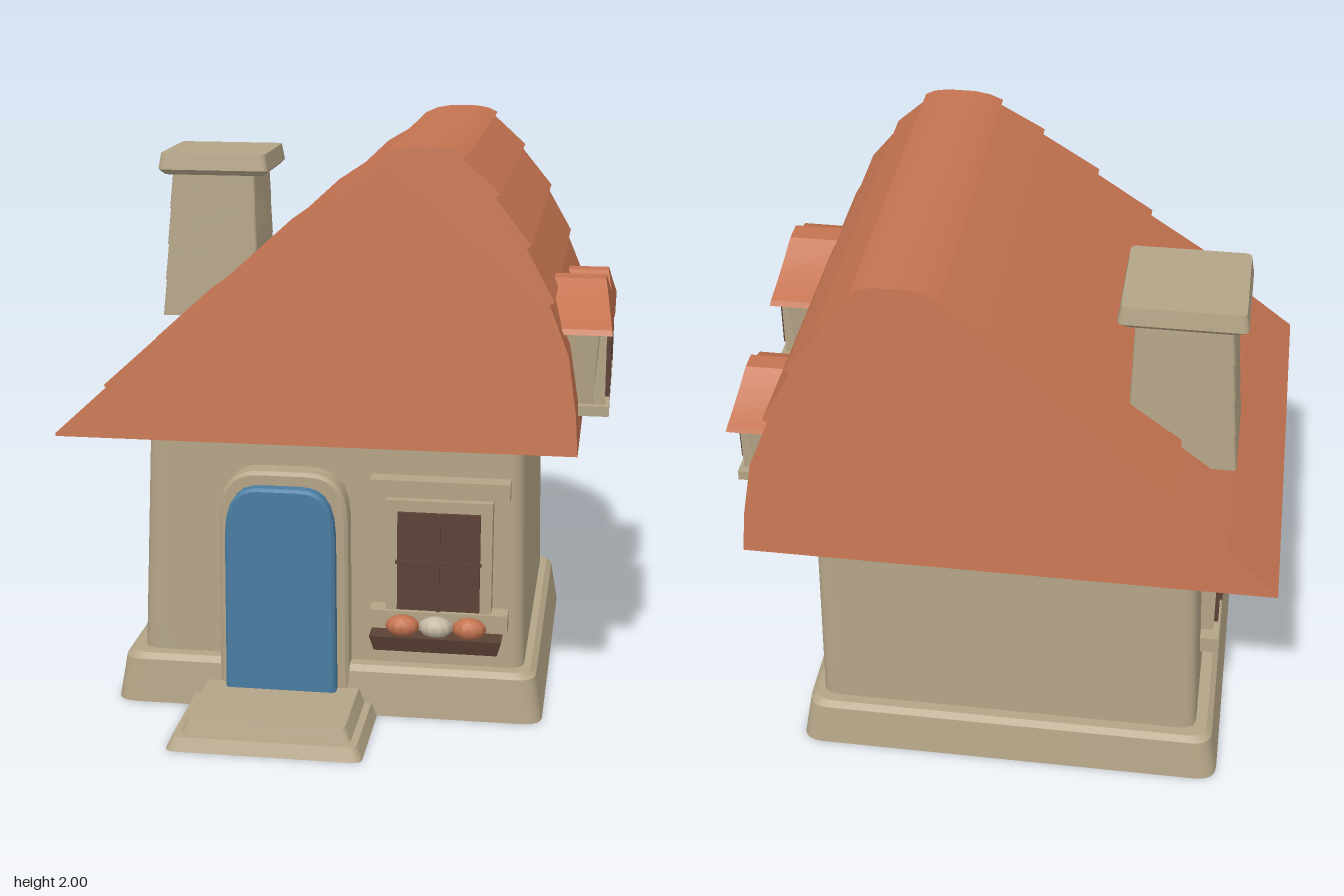
import * as THREE from 'three';
import { toCreasedNormals } from 'three/addons/utils/BufferGeometryUtils.js';

const mat = (name, color, side = THREE.FrontSide) => {
  const m = new THREE.MeshStandardMaterial({ color, side });
  m.name = name;
  return m;
};

export function createModel() {
  const house = new THREE.Group();
  house.name = 'cottage';
  const stone = mat('stone', 0xb3a486);
  const tile = mat('roofTile', 0xc47350, THREE.DoubleSide);
  const blue = mat('doorBlue', 0x4a7ca0);
  const wood = mat('darkWood', 0x5c4136);
  const pale = mat('palePetal', 0xc4b9a4);

  const add = (parent, name, geo, material, x = 0, y = 0, z = 0) => {
    const m = new THREE.Mesh(geo, material);
    m.name = name;
    m.position.set(x, y, z);
    parent.add(m);
    return m;
  };
  const box = (parent, name, material, w, h, d, x, y, z) =>
    add(parent, name, new THREE.BoxGeometry(w, h, d), material, x, y, z);

  // Rounded-corner block between y0 and y1; rectangles are [xMin, xMax, zMin, zMax]
  function block(parent, name, material, y0, y1, bottom, top, r) {
    const s = new THREE.Shape();
    const k = 1 - r;
    s.moveTo(-k, -1).lineTo(k, -1).quadraticCurveTo(1, -1, 1, -k).lineTo(1, k);
    s.quadraticCurveTo(1, 1, k, 1).lineTo(-k, 1).quadraticCurveTo(-1, 1, -1, k);
    s.lineTo(-1, -k).quadraticCurveTo(-1, -1, -k, -1);
    const g = new THREE.ExtrudeGeometry(s, { depth: 1, bevelEnabled: false, curveSegments: 5 });
    g.rotateX(-Math.PI / 2);
    const p = g.attributes.position;
    for (let i = 0; i < p.count; i++) {
      const t = p.getY(i);
      const e = bottom.map((v, j) => v + (top[j] - v) * t);
      p.setXYZ(i, (e[0] + e[1]) / 2 + p.getX(i) * (e[1] - e[0]) / 2, y0 + (y1 - y0) * t,
        (e[2] + e[3]) / 2 + p.getZ(i) * (e[3] - e[2]) / 2);
    }
    return add(parent, name, toCreasedNormals(g, 0.5), material);
  }

  // Plinth, walls and front steps
  block(house, 'plinth', stone, 0, 0.155, [-0.79, 0.725, -0.8, 0.53], [-0.765, 0.7, -0.778, 0.512], 0.1);
  block(house, 'plinthBevel', stone, 0.155, 0.175, [-0.765, 0.7, -0.778, 0.512], [-0.745, 0.68, -0.76, 0.495], 0.1);
  block(house, 'walls', stone, 0.17, 1.015, [-0.705, 0.655, -0.725, 0.452], [-0.67, 0.64, -0.705, 0.437], 0.09);
  block(house, 'lowerStep', stone, 0, 0.045, [-0.52, 0.15, 0.45, 0.92], [-0.5, 0.13, 0.45, 0.9], 0.12);
  block(house, 'upperStep', stone, 0.045, 0.095, [-0.475, 0.105, 0.45, 0.87], [-0.455, 0.085, 0.45, 0.855], 0.12);

  // Roof outline in overlapping courses, left eave over the ridge to right eave
  const left = [[-0.94, 1.02], [-0.77, 1.19], [-0.59, 1.355], [-0.39, 1.525], [-0.19, 1.695], [0.01, 1.855], [0.16, 1.97]];
  const right = [[0.44, 1.975], [0.55, 1.85], [0.655, 1.69], [0.735, 1.51], [0.785, 1.34], [0.815, 1.15], [0.825, 1.01]];
  const profile = [];
  left.forEach(([x, y], i) => {
    if (i) profile.push([x + 0.012, y - 0.018]);
    profile.push([x, y]);
  });
  profile.push([0.205, 1.99], [0.26, 2], [0.36, 2], [0.405, 1.992]);
  right.forEach(([x, y], i) => {
    profile.push([x, y]);
    if (i < 4) profile.push([x - 0.016, y - 0.008]);
  });
  const zFront = y => 0.65 - 0.12 * (y - 1.01);
  const zBack = y => -0.92 + 0.13 * (y - 1.01);

  const skin = [];
  for (let i = 0; i < profile.length - 1; i++) {
    const [a, b] = [profile[i], profile[i + 1]];
    const af = [...a, zFront(a[1])], ab = [...a, zBack(a[1])];
    const bf = [...b, zFront(b[1])], bb = [...b, zBack(b[1])];
    skin.push(...af, ...bf, ...bb, ...af, ...bb, ...ab);
  }
  const skinGeo = new THREE.BufferGeometry();
  skinGeo.setAttribute('position', new THREE.Float32BufferAttribute(skin, 3));
  add(house, 'roofCourses', toCreasedNormals(skinGeo, 0.3), tile);

  // Leaning gable ends
  const gableShape = new THREE.Shape([[-0.94, 1.01], ...profile].map(q => new THREE.Vector2(...q)));
  for (const [name, zAt, back] of [['frontGable', zFront, false], ['backGable', zBack, true]]) {
    const g = new THREE.ShapeGeometry(gableShape);
    const p = g.attributes.position;
    for (let i = 0; i < p.count; i++) p.setZ(i, zAt(p.getY(i)));
    if (back) g.index.array.reverse();
    g.computeVertexNormals();
    add(house, name, g, tile);
  }
  // Small board under the left eave
  box(house, 'eaveBoard', wood, 0.17, 0.015, 0.4, -0.755, 0.995, -0.3).rotation.z = 0.15;

  // Chimney in stacked courses with a bevelled cap
  for (let i = 0; i < 4; i++) {
    const at = t => [-0.775 + 0.04 * t, -0.405 - 0.015 * t, -0.585 + 0.025 * t, -0.225 - 0.025 * t];
    const y = 1.25 + i * 0.135;
    block(house, 'chimneyCourse', stone, y, y + 0.135, at(i / 4), at((i + 1) / 4 + 0.08), 0.08);
  }
  block(house, 'chimneyCapUnder', stone, 1.785, 1.805, [-0.76, -0.385, -0.58, -0.23], [-0.78, -0.365, -0.6, -0.21], 0.12);
  block(house, 'chimneyCap', stone, 1.805, 1.865, [-0.78, -0.365, -0.6, -0.21], [-0.77, -0.375, -0.59, -0.22], 0.12);

  // Arched doorway: outline of half width w, top y and base y
  const arch = (Type, w, base, top) => {
    const s = new Type();
    s.moveTo(-w, base).lineTo(w, base).lineTo(w * 0.98, top - 0.17);
    s.bezierCurveTo(w * 0.96, top - 0.03, w * 0.7, top, w * 0.35, top);
    s.lineTo(-w * 0.35, top);
    s.bezierCurveTo(-w * 0.7, top, -w * 0.96, top - 0.03, -w * 0.98, top - 0.17);
    s.closePath();
    return s;
  };
  const extrude = (s, depth, bevel = 0) => toCreasedNormals(new THREE.ExtrudeGeometry(s, {
    depth, curveSegments: 6, bevelEnabled: bevel > 0, bevelSize: bevel, bevelThickness: bevel,
    bevelOffset: -bevel, bevelSegments: 1 }), 0.5);
  const surround = arch(THREE.Shape, 0.23, 0.05, 0.875);
  surround.holes.push(arch(THREE.Path, 0.185, 0.06, 0.82));
  add(house, 'doorSurround', extrude(surround, 0.08, 0.012), stone, -0.18, 0, 0.435);
  add(house, 'door', extrude(arch(THREE.Shape, 0.195, 0.03, 0.828), 0.125, 0.01), blue, -0.185, 0, 0.44);

  // Window facing local +z, origin at the centre of its pane on the wall
  function makeWindow(name, pw, ph, frame, depth, bars) {
    const g = new THREE.Group();
    g.name = name;
    const W = pw / 2 + frame, H = ph / 2 + frame;
    const s = new THREE.Shape([[-W, -H], [W, -H], [W, H], [-W, H]].map(q => new THREE.Vector2(...q)));
    const [a, b] = [pw / 2 - 0.01, ph / 2 - 0.01];
    s.holes.push(new THREE.Path([[-a, -b], [-a, b], [a, b], [a, -b]].map(q => new THREE.Vector2(...q))));
    add(g, 'windowFrame', extrude(s, depth), stone);
    box(g, 'windowPane', wood, pw, ph, depth, 0, 0, depth / 2 + 0.015);
    if (bars) {
      box(g, 'uprightBar', wood, 0.012, ph, 0.012, 0, 0, depth + 0.018);
      box(g, 'crossBar', wood, pw + 0.01, 0.012, 0.012, 0, 0, depth + 0.018);
    }
    house.add(g);
    return g;
  }

  // Front and left windows with lintel and sill
  const frontWindow = makeWindow('frontWindow', 0.285, 0.35, 0.04, 0.07, true);
  frontWindow.position.set(0.36, 0.575, 0.44);
  box(frontWindow, 'lintel', stone, 0.48, 0.06, 0.07, 0, 0.255, 0.035);
  box(frontWindow, 'sill', stone, 0.48, 0.065, 0.085, 0, -0.215, 0.042);
  const leftWindow = makeWindow('leftWindow', 0.25, 0.28, 0.045, 0.06, true);
  leftWindow.position.set(-0.68, 0.545, -0.28);
  leftWindow.rotation.y = -Math.PI / 2;
  box(leftWindow, 'lintel', stone, 0.44, 0.052, 0.08, 0, 0.21, 0.04);
  box(leftWindow, 'sill', stone, 0.44, 0.065, 0.08, 0, -0.17, 0.04);

  // Flower box with three ribbed blossoms
  block(house, 'flowerBox', wood, 0.27, 0.325, [0.145, 0.57, 0.47, 0.585], [0.13, 0.585, 0.46, 0.6], 0.04);
  [tile, pale, tile].forEach((m, i) => {
    const g = new THREE.SphereGeometry(1, 20, 8);
    const p = g.attributes.position;
    for (let j = 0; j < p.count; j++) {
      const k = 0.9 + 0.1 * Math.cos(10 * Math.atan2(p.getZ(j), p.getX(j)));
      p.setXYZ(j, p.getX(j) * k * 0.06, p.getY(j) * 0.037, p.getZ(j) * k * 0.045);
    }
    g.computeVertexNormals();
    add(house, 'blossom', g, m, 0.242 + i * 0.115, 0.355, 0.56);
  });

  // Dormers on the right slope: [centre z, width, base y, wall top y, ridge y, pane w, pane h]
  for (const [z, w, y0, y1, y2, pw, ph] of [
    [0.245, 0.42, 1.1, 1.4, 1.535, 0.32, 0.19], [-0.437, 0.32, 1.05, 1.31, 1.435, 0.21, 0.15]]) {
    const paneY = y0 + 0.055 + ph / 2;
    block(house, 'dormerWall', stone, y0 + 0.02, y1, [0.68, 0.865, z - w / 2 + 0.02, z + w / 2 - 0.02],
      [0.68, 0.885, z - w / 2, z + w / 2], 0.06);
    const win = makeWindow('dormerWindow', pw, ph, 0.035, 0.04, false);
    win.position.set(0.865, paneY, z);
    win.rotation.y = Math.PI / 2;
    box(house, 'dormerSill', stone, 0.22, 0.035, w + 0.02, 0.81, y0 + 0.018, z);
    const half = w / 2 + 0.07, rise = y2 - y1 + 0.01;
    const outline = [[-1, 0], [1, 0], [0.96, 0.12], [0.72, 0.3], [0.35, 0.7], [0.15, 1],
      [-0.15, 1], [-0.35, 0.7], [-0.72, 0.3], [-0.96, 0.12]];
    const roof = extrude(new THREE.Shape(outline.map(q => new THREE.Vector2(q[0] * half, q[1] * rise))), 0.23);
    const p = roof.attributes.position;
    // Front edge slopes back toward the ridge
    for (let i = 0; i < p.count; i++) if (p.getZ(i) > 0.1) p.setZ(i, 0.235 - 0.03 * p.getY(i) / rise);
    add(house, 'dormerRoof', roof, tile, 0.69, y1 - 0.01, z).rotation.y = Math.PI / 2;
  }
  return house;
}
